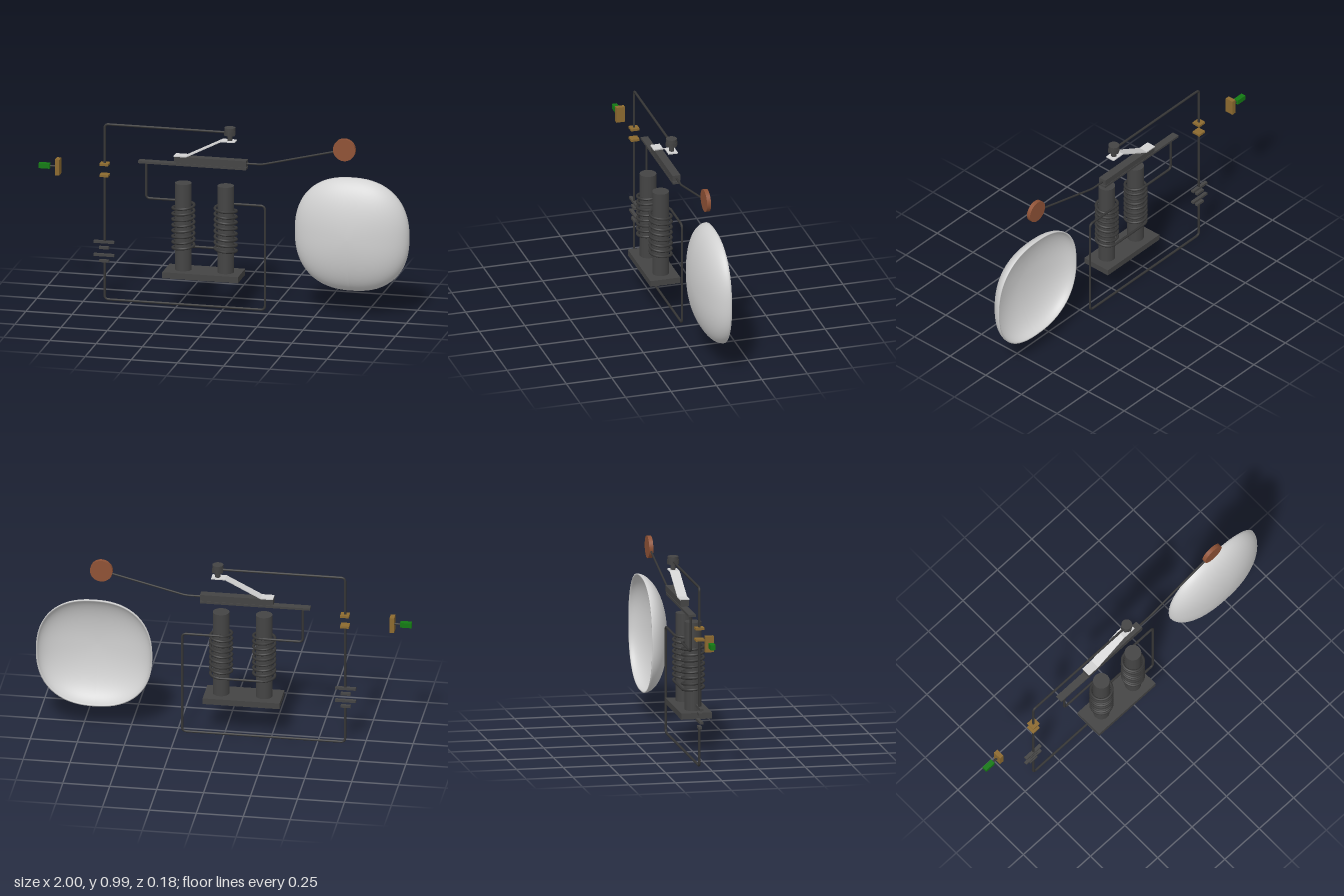
import * as THREE from 'three';

const mat = (name, color, side = THREE.FrontSide) => {
  const m = new THREE.MeshStandardMaterial({ color, side });
  m.name = name;
  return m;
};

export function createModel() {
  const iron = mat('dark iron', 0x444444);
  const wire = mat('black wire', 0x363636);
  const silver = mat('pale metal', 0xd2d2d2, THREE.DoubleSide);
  const brass = mat('brass', 0x8c6a2f);
  const copper = mat('copper', 0x8f5236);
  const green = mat('green plastic', 0x137a13);

  const Z = -0.047; // plane of the circuit
  const CORE_Z = 0.01; // plane of the magnet cores
  const WIRE_R = 0.0065;
  const model = new THREE.Group();
  model.name = 'electricBell';

  const add = (name, geometry, material, x = 0, y = 0, z = 0) => {
    const mesh = new THREE.Mesh(geometry, material);
    mesh.name = name;
    mesh.position.set(x, y, z);
    model.add(mesh);
    return mesh;
  };
  // box given by its x and y limits and its depth
  const box = (name, x0, x1, y0, y1, depth, material, z = Z) =>
    add(name, new THREE.BoxGeometry(x1 - x0, y1 - y0, depth), material, (x0 + x1) / 2, (y0 + y1) / 2, z);
  // upright cylinder given by its y limits
  const post = (name, x, y0, y1, r, sides, material, z = Z) =>
    add(name, new THREE.CylinderGeometry(r, r, y1 - y0, sides), material, x, (y0 + y1) / 2, z);

  // bent wire with rounded corners and closed ends
  const bentWire = (name, pts, r = WIRE_R, bend = 0.022) => {
    const v = pts.map(([x, y]) => new THREE.Vector3(x, y, Z));
    const path = new THREE.CurvePath();
    let from = v[0];
    for (let i = 1; i < v.length - 1; i++) {
      const a = v[i].clone().add(v[i - 1].clone().sub(v[i]).setLength(bend));
      const b = v[i].clone().add(v[i + 1].clone().sub(v[i]).setLength(bend));
      path.add(new THREE.LineCurve3(from, a));
      path.add(new THREE.QuadraticBezierCurve3(a, v[i], b));
      from = b;
    }
    path.add(new THREE.LineCurve3(from, v[v.length - 1]));
    add(name, new THREE.TubeGeometry(path, pts.length > 2 ? 160 : 1, r, 8), wire);
    for (const p of [v[0], v[v.length - 1]])
      add(name + 'End', new THREE.SphereGeometry(r, 8, 6), wire, p.x, p.y, p.z);
  };

  // electromagnet: yoke, cores and coils
  box('magnetYoke', -0.3, 0.11, 0.19, 0.223, 0.165, iron, CORE_Z);
  const coilR = CORE_Z - Z;
  const coil = (name, x, y0, y1) => {
    const turns = 8, pts = [];
    for (let i = 0; i <= turns * 16; i++) {
      const a = (i / 16) * Math.PI * 2;
      pts.push(new THREE.Vector3(
        x + Math.sin(a) * coilR, y0 + (y1 - y0) * i / (turns * 16), CORE_Z - Math.cos(a) * coilR));
    }
    add(name, new THREE.TubeGeometry(new THREE.CatmullRomCurve3(pts), turns * 32, 0.0075, 8), wire);
  };
  const coreX = [-0.205, 0.024];
  for (const x of coreX) post('magnetCore', x, 0.22, 0.697, 0.044, 32, iron, CORE_Z);
  coil('rightCoil', coreX[0], 0.582, 0.333);
  coil('leftCoil', coreX[1], 0.333, 0.582);

  // circuit wiring
  bentWire('coilBridge', [[coreX[0], 0.333], [coreX[1], 0.333]]);
  bentWire('armatureWire', [[-0.42, 0.78], [-0.42, 0.582], [coreX[0], 0.582]]);
  bentWire('returnWire', [[coreX[1], 0.582], [0.223, 0.582], [0.223, 0.012], [-0.645, 0.012], [-0.645, 0.22]]);
  bentWire('batteryWire', [[-0.645, 0.325], [-0.645, 0.69]]);
  bentWire('topWire', [[-0.645, 0.755], [-0.645, 0.972], [0.033, 0.972]]);

  // battery plates, long and short in turn
  [0.326, 0.294, 0.254, 0.222].forEach((y, i) => {
    const half = i % 2 ? 0.026 : 0.055;
    box('batteryPlate', -0.648 - half, -0.648 + half, y - 0.0065, y + 0.0065, 0.018, iron);
  });

  // switch contacts and push button
  for (const y of [0.693, 0.754]) box('switchContact', -0.668, -0.621, y - 0.006, y + 0.006, 0.047, brass);
  box('buttonPlate', -0.909, -0.885, 0.68, 0.766, 0.047, brass);
  bentWire('buttonStem', [[-0.945, 0.723], [-0.9, 0.723]], 0.005);
  box('buttonCap', -1, -0.94, 0.71, 0.737, 0.027, green);

  // armature and hammer
  box('armatureSpring', -0.46, 0.125, 0.776, 0.788, 0.04, iron);
  box('armatureBar', -0.265, 0.125, 0.793, 0.826, 0.044, iron);
  box('armatureJoint', -0.255, 0.115, 0.786, 0.795, 0.034, iron);
  bentWire('hammerArm', [[0.12, 0.808], [0.205, 0.808], [0.62, 0.911]], 0.0055);
  add('hammerHead', new THREE.CylinderGeometry(0.06, 0.06, 0.022, 40).rotateX(Math.PI / 2), copper, 0.653, 0.92, Z);

  // bent contact strip above the armature
  const line = [[-0.265, 0.826], [-0.2, 0.826], [-0.01, 0.923], [0.065, 0.923]];
  const strip = new THREE.Shape(
    [...line, ...line.map(([x, y]) => [x, y + 0.006]).reverse()].map(([x, y]) => new THREE.Vector2(x, y)));
  add('contactStrip', new THREE.ExtrudeGeometry(strip, { depth: 0.052, bevelEnabled: false }), silver, 0, 0, Z - 0.026);

  // contact screw
  post('screwStem', 0.033, 0.928, 0.965, 0.014, 16, iron);
  post('screwNut', 0.033, 0.958, 0.982, 0.032, 6, iron);
  post('screwHead', 0.033, 0.98, 1, 0.029, 20, iron);

  // gong: hollow dish with a slightly squared outline, open to the back
  const R = 0.31, profile = [], steps = 20;
  for (let i = 0; i <= steps; i++) {
    const a = (i / steps) * Math.PI / 2;
    profile.push(new THREE.Vector2(Math.sin(a) * (R - 0.007), Math.cos(a) * 0.121));
  }
  for (let i = steps; i >= 0; i--) {
    const a = (i / steps) * Math.PI / 2;
    profile.push(new THREE.Vector2(Math.sin(a) * R, Math.cos(a) * 0.129));
  }
  const gong = new THREE.LatheGeometry(profile, 72);
  const p = gong.attributes.position, n = 2.35;
  for (let i = 0; i < p.count; i++) {
    const x = p.getX(i), z = p.getZ(i), r = Math.hypot(x, z);
    if (r < 1e-6) continue;
    const k = Math.pow(Math.abs(x / r) ** n + Math.abs(z / r) ** n, -1 / n);
    p.setX(i, x * k);
    p.setZ(i, z * k);
  }
  gong.computeVertexNormals();
  gong.rotateX(Math.PI / 2);
  add('gong', gong, silver, 0.686, 0.45, -0.087);

  return model;
}
